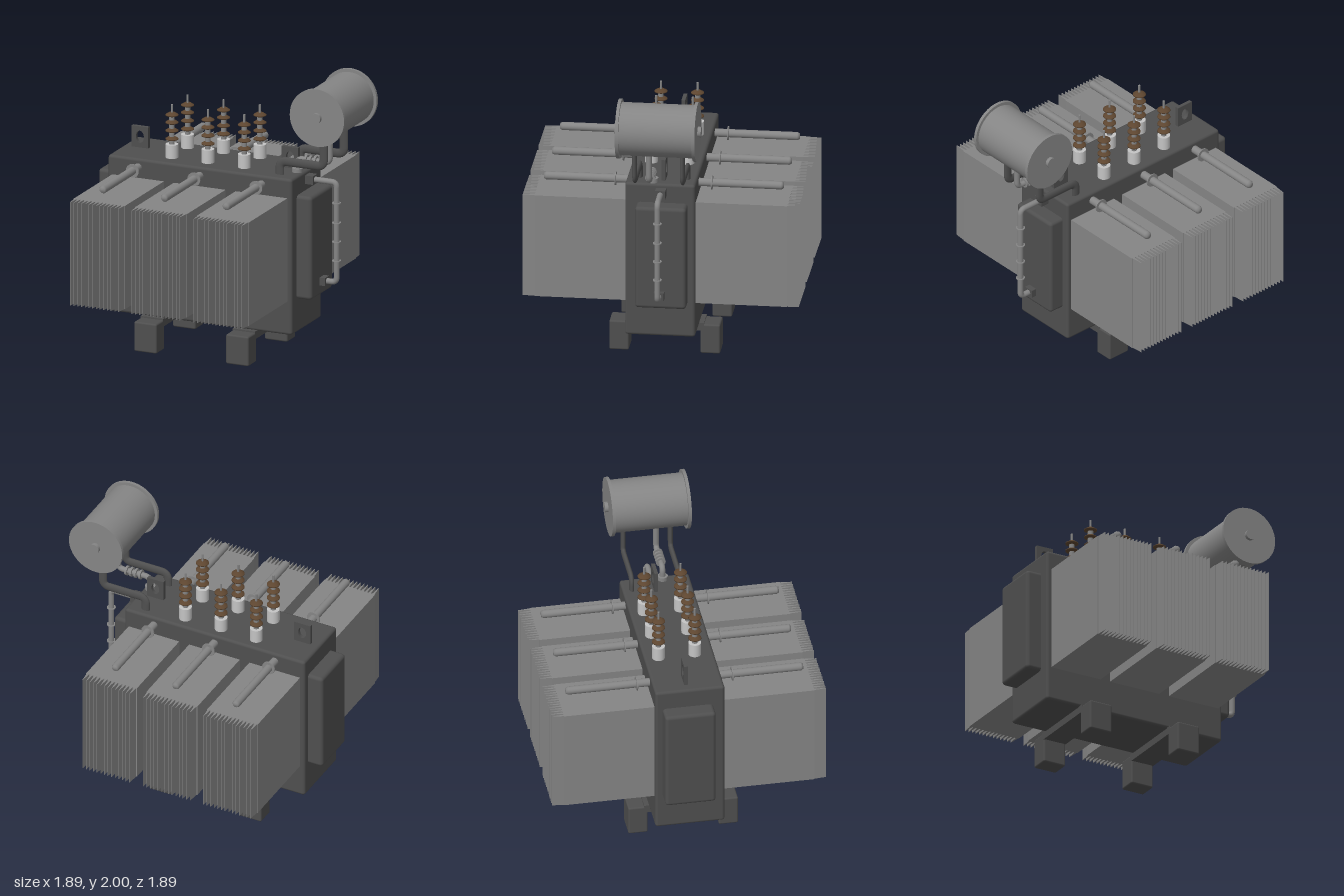
import * as THREE from 'three';
import { RoundedBoxGeometry } from 'three/addons/geometries/RoundedBoxGeometry.js';

const paint = (name, color) => {
  const m = new THREE.MeshStandardMaterial({ color });
  m.name = name;
  return m;
};

export function createModel() {
  const dark = paint('dark steel', 0x4f4f4f);
  const grey = paint('light steel', 0x858585);
  const white = paint('white porcelain', 0xc4c4c4);
  const brown = paint('brown porcelain', 0x5e4630);

  const model = new THREE.Group();
  model.name = 'transformer';
  const add = (name, geo, mat, x = 0, y = 0, z = 0, parent = model) => {
    const mesh = new THREE.Mesh(geo, mat);
    mesh.name = name;
    mesh.position.set(x, y, z);
    parent.add(mesh);
    return mesh;
  };
  const group = (name, x = 0, y = 0, z = 0) => {
    const g = new THREE.Group();
    g.name = name;
    g.position.set(x, y, z);
    model.add(g);
    return g;
  };
  const rounded = (w, h, d, r) => new RoundedBoxGeometry(w, h, d, 2, r);
  const rod = (r, len, axis = 'y', sides = 20, rTop = r) => {
    const g = new THREE.CylinderGeometry(rTop, r, len, sides);
    if (axis === 'z') g.rotateX(Math.PI / 2);
    if (axis === 'x') g.rotateZ(Math.PI / 2);
    return g;
  };
  // Pipe through [x, y] points in a plane of constant z, with rounded elbows
  const pipe = (pts, radius, bend) => {
    const v = pts.map(([x, y]) => new THREE.Vector3(x, y, 0));
    const path = new THREE.CurvePath();
    let from = v[0];
    for (let i = 1; i < v.length - 1; i++) {
      const a = v[i].clone().add(v[i - 1].clone().sub(v[i]).setLength(bend));
      const b = v[i].clone().add(v[i + 1].clone().sub(v[i]).setLength(bend));
      path.add(new THREE.LineCurve3(from, a));
      path.add(new THREE.QuadraticBezierCurve3(a, v[i], b));
      from = b;
    }
    path.add(new THREE.LineCurve3(from, v[v.length - 1]));
    return new THREE.TubeGeometry(path, 90, radius, 14);
  };

  // Tank and the shallow boxes on its two ends
  add('tank', rounded(1.38, 1.11, 0.48, 0.02), dark, -0.15, 0.77, 0);
  add('rightEndBox', rounded(0.2, 0.735, 0.35, 0.025), dark, -0.85, 0.8225, -0.015);
  add('leftEndBox', rounded(0.2, 0.735, 0.35, 0.025), dark, 0.55, 0.8225, -0.015);

  // Feet joined by cross beams
  for (const x of [-0.495, 0.195]) {
    add('crossBeam', new THREE.BoxGeometry(0.17, 0.055, 0.54), dark, x, 0.1925, 0);
    for (const s of [-1, 1]) add('foot', rounded(0.17, 0.21, 0.135, 0.012), dark, x, 0.105, s * 0.3125);
  }

  // Radiator banks: block with a row of tapered fins
  const width = 0.388, fins = 14, pitch = width / fins;
  const outline = new THREE.Shape();
  outline.moveTo(-width / 2, 0.23);
  outline.lineTo(width / 2, 0.23);
  outline.lineTo(width / 2, 0.865);
  for (let i = fins - 1; i >= 0; i--) {
    const c = -width / 2 + (i + 0.5) * pitch;
    outline.lineTo(c + 0.009, 0.865);
    outline.lineTo(c + 0.0015, 0.947);
    outline.lineTo(c - 0.0015, 0.947);
    outline.lineTo(c - 0.009, 0.865);
  }
  outline.lineTo(-width / 2, 0.865);
  const radiator = new THREE.ExtrudeGeometry(outline, { depth: 0.735, bevelEnabled: false });
  radiator.rotateX(Math.PI / 2);

  // Header pipe above each bank, with a chamfered end
  const header = new THREE.LatheGeometry(
    [[0.028, 0.22], [0.028, 0.805], [0.02, 0.82], [0, 0.822]].map(([r, y]) => new THREE.Vector2(r, y)), 20);
  header.rotateX(Math.PI / 2);

  for (const x of [-0.612, -0.15, 0.314]) {
    for (const turn of [0, Math.PI]) {
      const bank = group('radiatorBank', x);
      bank.rotation.y = turn;
      add('radiator', radiator, grey, 0, 1.19, 0, bank);
      add('headerPipe', header, grey, 0, 1.265, 0, bank);
      add('headerFlange', rod(0.048, 0.008, 'z'), grey, 0, 1.265, 0.33, bank);
    }
  }

  // Bushings with flared sheds
  const shed = new THREE.LatheGeometry(
    [[0, -0.012], [0.03, -0.012], [0.045, -0.006], [0.044, 0], [0.022, 0.014], [0, 0.014]]
      .map(([r, y]) => new THREE.Vector2(r, y)), 20);
  for (const x of [-0.42, -0.15, 0.123]) {
    for (const z of [-0.143, 0.108]) {
      const b = group('bushing', x, 1.32, z);
      add('bushingBase', rod(0.044, 0.1), white, 0, 0.05, 0, b);
      add('bushingStem', rod(0.019, 0.22), grey, 0, 0.2, 0, b);
      for (const y of [0.14, 0.198, 0.256, 0.31]) add('shed', shed, brown, 0, y, 0, b);
      add('terminal', rod(0.008, 0.08, 'y', 10), grey, 0, 0.34, 0, b);
    }
  }

  // Lifting lugs with an oval eye
  const lugShape = new THREE.Shape();
  lugShape.moveTo(-0.0625, 0);
  lugShape.lineTo(0.0625, 0);
  lugShape.lineTo(0.0625, 0.16);
  lugShape.lineTo(-0.0625, 0.16);
  lugShape.closePath();
  const eye = new THREE.Path();
  eye.absellipse(0, 0.086, 0.03, 0.043, 0, Math.PI * 2, true);
  lugShape.holes.push(eye);
  const lug = new THREE.ExtrudeGeometry(lugShape, { depth: 0.026, bevelEnabled: false });
  for (const x of [-0.713, 0.413]) add('liftingLug', lug, dark, x, 1.315, -0.03);

  // Conservator drum, rims and hub
  const drum = group('conservator', 0.74, 1.797, -0.01);
  add('drum', rod(0.182, 0.53, 'z', 48), grey, 0, 0, 0, drum);
  for (const s of [-1, 1]) add('drumRim', rod(0.204, 0.022, 'z', 48), grey, 0, 0, s * 0.262, drum);
  add('drumHub', rod(0.036, 0.594, 'z', 24), grey, 0, 0, 0, drum);

  // Flattened support pipes from the lid up to the drum
  const support = pipe([[0.41, 1.31], [0.41, 1.42], [0.738, 1.42], [0.738, 1.66]], 0.031, 0.05);
  for (const z of [0.15, -0.177]) add('supportPipe', support, dark, 0, 0, z).scale.z = 0.55;

  // Oil pipe with a ribbed relay
  add('oilPipe', pipe([[0.495, 1.31], [0.495, 1.42], [0.74, 1.42], [0.74, 1.66]], 0.02, 0.04), grey, 0, 0, 0.052);
  add('oilPipeFlange', rod(0.036, 0.03), grey, 0.495, 1.338, 0.052);
  for (let i = 0; i < 4; i++) add('relayRib', rod(0.034, 0.016, 'x'), grey, 0.565 + i * 0.035, 1.42, 0.052);

  // Level gauge pipe on the left end
  add('gaugePipe', pipe([[0.57, 1.267], [0.762, 1.267], [0.762, 0.557], [0.67, 0.557]], 0.02, 0.035), grey, 0, 0, -0.008);
  for (const y of [1.12, 0.98, 0.845, 0.71]) add('gaugeRing', rod(0.031, 0.006), grey, 0.762, y, -0.008);
  add('gaugeTopMount', new THREE.BoxGeometry(0.07, 0.06, 0.07), dark, 0.565, 1.267, -0.008);
  add('gaugeBottomMount', new THREE.BoxGeometry(0.05, 0.056, 0.07), dark, 0.665, 0.557, -0.008);

  return model;
}
